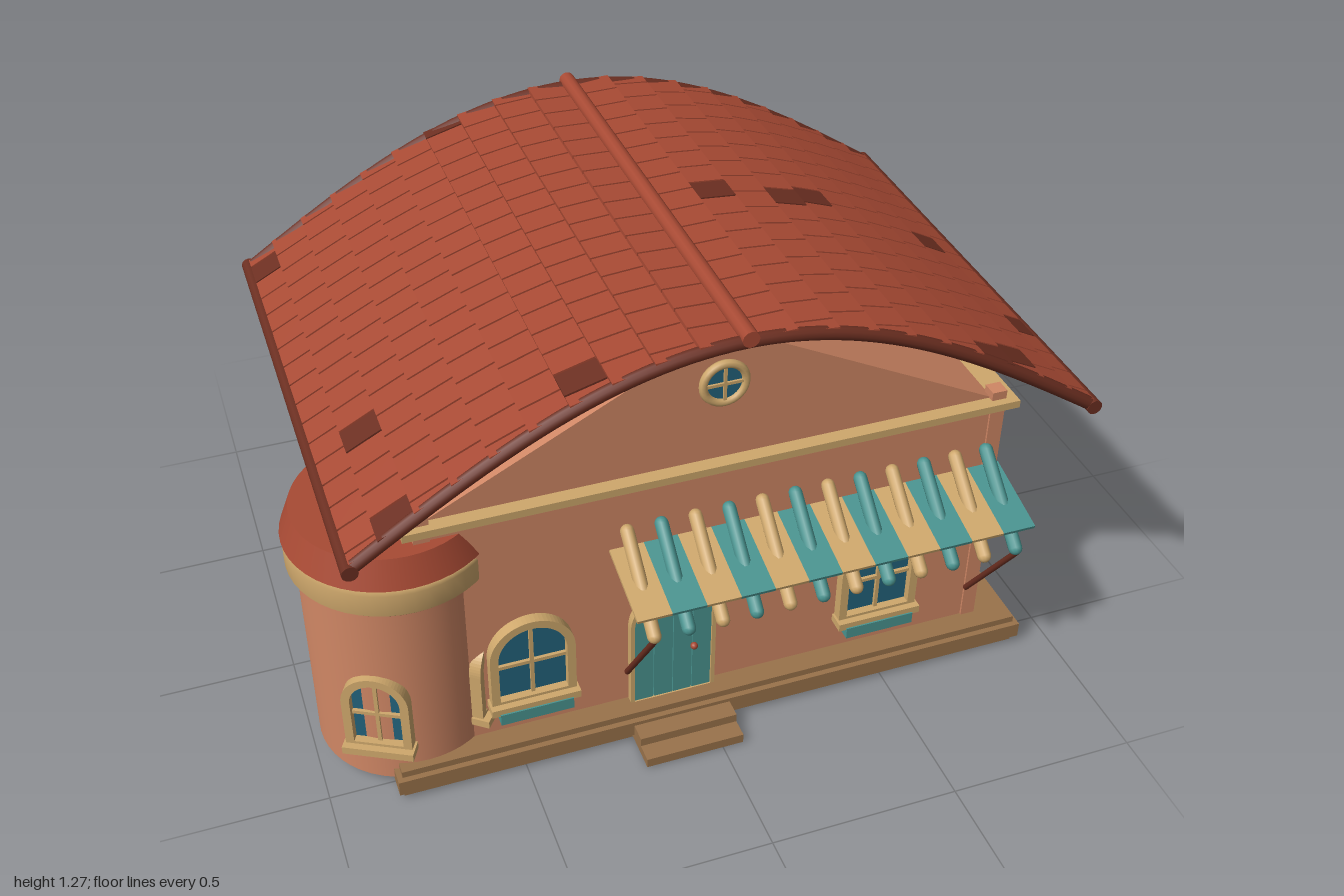
import * as THREE from 'three';
import { mergeGeometries } from 'three/addons/utils/BufferGeometryUtils.js';

const mat = (name, color, extra = {}) => {
  const m = new THREE.MeshStandardMaterial({ color, ...extra });
  m.name = name;
  return m;
};

export function createModel() {
  const root = new THREE.Group();
  root.name = 'house';
  const wall = mat('terracotta plaster', 0xd08765);
  const trim = mat('sand trim', 0xcfa86c);
  const stone = mat('brown stone', 0x9a734b);
  const tile = mat('red tile', 0xa84a34);
  const dark = mat('dark tile', 0x6c2f21);
  const teal = mat('teal paint', 0x4a9490);
  const glass = mat('blue glass', 0x23637c);
  const CX = 0.04, CZ = -0.045; // centre of the house body

  const add = (name, geo, m, parent = root, x = 0, y = 0, z = 0) => {
    const mesh = new THREE.Mesh(geo, m);
    mesh.name = name;
    mesh.position.set(x, y, z);
    parent.add(mesh);
    return mesh;
  };
  // box given by its min and max corners
  const box = (name, m, x0, x1, y0, y1, z0, z1, parent = root) =>
    add(name, new THREE.BoxGeometry(x1 - x0, y1 - y0, z1 - z0), m, parent,
      (x0 + x1) / 2, (y0 + y1) / 2, (z0 + z1) / 2);
  // round bar between two points
  const bar = (name, m, a, b, r, capsule = false) => {
    const A = new THREE.Vector3(...a), B = new THREE.Vector3(...b), d = B.clone().sub(A);
    const geo = capsule ? new THREE.CapsuleGeometry(r, d.length() - 2 * r, 4, 10)
      : new THREE.CylinderGeometry(r, r, d.length(), 12);
    const mesh = add(name, geo, m);
    mesh.position.copy(A).add(B).multiplyScalar(0.5);
    mesh.quaternion.setFromUnitVectors(new THREE.Vector3(0, 1, 0), d.normalize());
    return mesh;
  };
  const arch = (w, h, y0 = 0, C = THREE.Shape) => {
    const r = w / 2, s = new C();
    s.moveTo(-r, y0);
    s.lineTo(r, y0);
    s.lineTo(r, y0 + h - r);
    s.absarc(0, y0 + h - r, r, 0, Math.PI, false);
    s.lineTo(-r, y0);
    return s;
  };
  const extrude = (shape, depth) =>
    new THREE.ExtrudeGeometry(shape, { depth, bevelEnabled: false, curveSegments: 16 });

  // Plinth and steps
  box('plinth', stone, CX - 0.86, CX + 0.86, 0, 0.085, -0.635, 0.555);
  box('plinthBand', stone, CX - 0.873, CX + 0.873, 0.022, 0.066, -0.65, 0.57);
  box('lowerStep', stone, -0.21, 0.055, 0.003, 0.03, 0.55, 0.67);
  box('upperStep', stone, -0.21, 0.055, 0.03, 0.055, 0.55, 0.62);

  // Walls, corner pilasters, cornice and gabled attic
  box('walls', wall, CX - 0.76, CX + 0.76, 0.085, 0.81, CZ - 0.54, CZ + 0.54);
  for (const sx of [-1, 1]) for (const sz of [-1, 1])
    add('cornerPilaster', new THREE.BoxGeometry(0.04, 0.755, 0.04), wall, root,
      CX + sx * 0.746, 0.4625, CZ + sz * 0.526);
  box('cornice', trim, CX - 0.795, CX + 0.795, 0.795, 0.816, CZ - 0.567, CZ + 0.567);
  const gable = new THREE.Shape([[-0.735, 0.815], [0.735, 0.815], [0, 1.19]]
    .map(p => new THREE.Vector2(...p)));
  add('gableAttic', extrude(gable, 1.06), wall, root, CX, 0, CZ - 0.53);
  box('chimney', wall, 0.525, 0.64, 0.85, 1.01, -0.4, -0.28);
  box('chimneyCap', trim, 0.505, 0.655, 1.01, 1.036, -0.415, -0.265);

  // Arched window facing local +z, origin at the sill
  function addWindow(x, y, z, angle, w, h, planter = false) {
    const g = new THREE.Group();
    g.name = 'archedWindow';
    g.position.set(x, y, z);
    g.rotation.y = angle;
    const t = 0.022, ring = arch(w, h);
    ring.holes.push(arch(w - 2 * t, h - 2 * t, t, THREE.Path));
    add('windowFrame', extrude(ring, 0.03), trim, g);
    add('windowPane', extrude(arch(w - 1.8 * t, h - 1.8 * t, 0.9 * t), 0.009), glass, g);
    box('uprightMuntin', trim, -0.005, 0.005, t, h - t, 0, 0.018, g);
    box('crossMuntin', trim, -w / 2 + t, w / 2 - t, h * 0.45, h * 0.45 + 0.01, 0, 0.018, g);
    box('sill', trim, -w / 2 - 0.006, w / 2 + 0.006, -0.008, 0.014, 0, 0.048, g);
    if (planter) box('planter', teal, -w / 2 + 0.015, w / 2 - 0.015, -0.036, -0.002, 0, 0.052, g);
    root.add(g);
  }
  const front = CZ + 0.54, back = CZ - 0.54;
  for (const x of [-0.46, 0.49]) addWindow(x, 0.19, front, 0, 0.222, 0.27, true);
  for (const x of [-0.41, 0.49]) addWindow(x, 0.19, back, Math.PI, 0.21, 0.26);
  for (const z of [0.185, -0.225]) addWindow(CX + 0.76, 0.19, z, Math.PI / 2, 0.185, 0.235);
  addWindow(CX - 0.76, 0.19, -0.17, -Math.PI / 2, 0.185, 0.235);

  // Round attic window
  const oculus = new THREE.Group();
  oculus.name = 'roundWindow';
  oculus.position.set(CX, 1.04, CZ + 0.53);
  const disc = add('roundPane', new THREE.CylinderGeometry(0.055, 0.055, 0.009, 28), glass, oculus, 0, 0, 0.005);
  disc.rotation.x = Math.PI / 2;
  add('roundFrame', new THREE.TorusGeometry(0.054, 0.011, 8, 32), trim, oculus, 0, 0, 0.008);
  box('uprightMuntin', trim, -0.004, 0.004, -0.05, 0.05, 0, 0.015, oculus);
  box('crossMuntin', trim, -0.05, 0.05, -0.004, 0.004, 0, 0.015, oculus);
  root.add(oculus);

  // Arched plank door
  const door = new THREE.Group();
  door.name = 'door';
  door.position.set(-0.085, 0.085, front);
  const surround = arch(0.232, 0.372);
  surround.holes.push(arch(0.21, 0.361, 0, THREE.Path));
  add('doorFrame', extrude(surround, 0.022), trim, door);
  for (let i = 0; i < 4; i++) {
    // each plank is cut to the arch
    const x0 = -0.105 + i * 0.0525 + 0.001, x1 = x0 + 0.0505, pts = [[x0, 0], [x1, 0]];
    for (let k = 6; k >= 0; k--) {
      const x = x0 + (x1 - x0) * k / 6;
      pts.push([x, 0.256 + Math.sqrt(Math.max(0, 0.105 ** 2 - x * x))]);
    }
    add('doorPlank', extrude(new THREE.Shape(pts.map(p => new THREE.Vector2(...p))), 0.018), teal, door);
  }
  add('doorKnob', new THREE.SphereGeometry(0.01, 12, 8), tile, door, 0.055, 0.155, 0.026);
  root.add(door);

  // Striped awning: flat slats, steep rounded bars and two struts
  const step = 1.06 / 12;
  for (let i = 0; i < 12; i++) {
    const m = i % 2 ? teal : trim, x = -0.25 + (i + 0.5) * step;
    const slat = add('awningSlat', new THREE.BoxGeometry(step, 0.009, 0.215), m, root, x, 0.582, 0.603);
    slat.rotation.x = 0.25;
    bar('awningBar', m, [x, 0.677, 0.492], [x, 0.482, 0.716], 0.018, true);
  }
  for (const x of [-0.205, 0.77]) bar('awningStrut', dark, [x, 0.185, 0.5], [x, 0.485, 0.708], 0.008);

  // Round tower with trim ring, tiled cap and windows
  const TX = -0.745, TZ = 0.3;
  add('towerWall', new THREE.CylinderGeometry(0.234, 0.234, 0.61, 48), wall, root, TX, 0.34, TZ);
  const ringProfile = [[0, 0.603], [0.25, 0.603], [0.259, 0.612], [0.259, 0.672], [0.252, 0.685], [0, 0.685]];
  add('towerTrim', new THREE.LatheGeometry(ringProfile.map(p => new THREE.Vector2(...p)), 48), trim, root, TX, 0, TZ);
  add('towerCap', new THREE.CylinderGeometry(0.234, 0.262, 0.075, 48), tile, root, TX, 0.7275, TZ);
  for (const a of [-0.49, 0.92])
    addWindow(TX + Math.sin(a) * 0.222, 0.15, TZ + Math.cos(a) * 0.222, a, 0.17, 0.24);

  // Curved roof: shell, overlapping tile rows, edge rolls and ridge roll
  const z0 = -0.705, z1 = 0.62, rows = 10, tileW = (z1 - z0 + 0.02) / 16;
  const darkSpots = [[-0.84, -0.67], [-0.33, -0.68], [0.2, -0.07], [0.41, -0.07], [0.51, -0.05], [0.82, -0.07],
    [0.92, 0.26], [0.72, 0.57], [-0.74, 0.24], [-0.74, 0.56], [-0.33, 0.56]];
  const roofY = u => 0.84 + 0.4 * Math.cos(u * Math.PI / 2);
  const shellPts = [];
  for (let i = -20; i <= 20; i++) shellPts.push(new THREE.Vector2(CX + 0.93 * i / 20, roofY(i / 20) - 0.014));
  for (let i = 20; i >= -20; i--) shellPts.push(new THREE.Vector2(CX + 0.93 * i / 20, roofY(i / 20) + 0.006));
  add('roofShell', extrude(new THREE.Shape(shellPts.reverse()), z1 - z0), tile, root, 0, 0, z0);

  const plain = [], odd = [];
  for (const s of [-1, 1]) {
    const slope = new THREE.CatmullRomCurve3(Array.from({ length: 17 }, (_, i) =>
      new THREE.Vector3(CX + s * 0.93 * i / 16, roofY(i / 16), 0)));
    const lifted = (t, lift) => {
      const p = slope.getPointAt(t), d = slope.getTangentAt(t);
      return p.add(new THREE.Vector3(-d.y * s, d.x * s, 0).multiplyScalar(lift));
    };
    for (let r = 0; r < rows; r++) {
      const a = lifted(r / rows, 0.003), b = lifted(Math.min(1, (r + 1.12) / rows), 0.014);
      const d = b.clone().sub(a), mid = a.clone().add(b).multiplyScalar(0.5);
      for (let c = 0; c <= 16; c++) {
        const start = z0 - 0.01 + (c - (r % 2) / 2) * tileW;
        const lo = Math.max(start, z0 - 0.01), hi = Math.min(start + tileW, z1 + 0.01);
        if (hi - lo < 0.01) continue;
        const g = new THREE.BoxGeometry(d.length(), 0.012, hi - lo - 0.006);
        g.rotateZ(Math.atan2(d.y, d.x));
        g.translate(mid.x, mid.y, (lo + hi) / 2);
        const isDark = darkSpots.some(([x, z]) => z >= lo && z < hi &&
          Math.abs(x - mid.x) <= Math.abs(d.x) / 2.24);
        (isDark ? odd : plain).push(g);
      }
    }
  }
  add('roofTiles', mergeGeometries(plain), tile);
  add('weatheredTiles', mergeGeometries(odd), dark);

  for (const z of [z0, z1]) {
    const path = new THREE.CatmullRomCurve3(Array.from({ length: 25 }, (_, i) =>
      new THREE.Vector3(CX + 0.935 * (i / 12 - 1), roofY(i / 12 - 1), z)));
    add('roofEdgeRoll', new THREE.TubeGeometry(path, 60, 0.017, 10), dark);
  }
  for (const s of [-1, 1])
    bar('eaveRoll', dark, [CX + s * 0.935, 0.84, z0 - 0.017], [CX + s * 0.935, 0.84, z1 + 0.017], 0.02);
  bar('ridgeRoll', tile, [CX, 1.254, z0 - 0.017], [CX, 1.254, z1 + 0.017], 0.021);
  return root;
}
